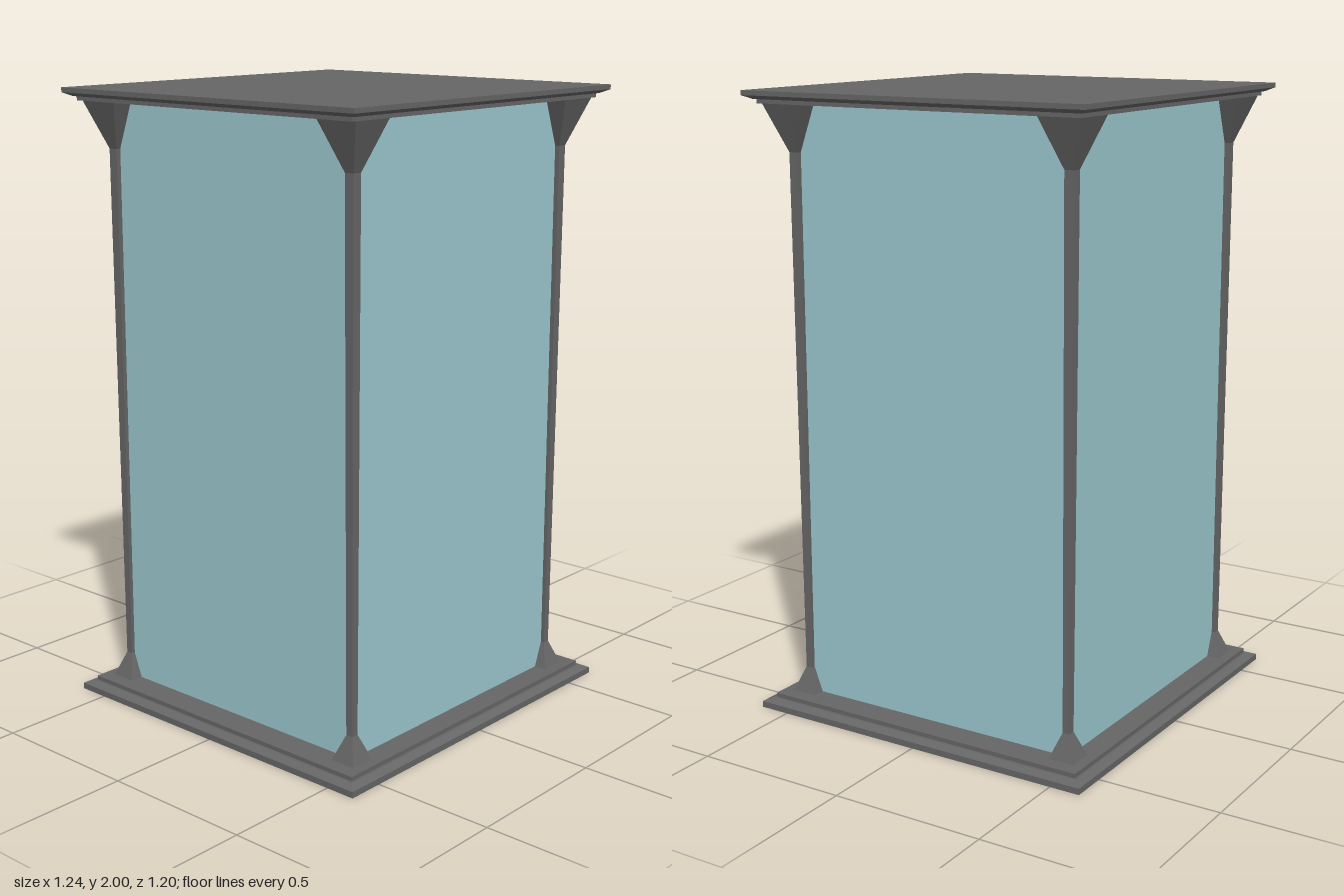
import * as THREE from 'three';

const frameMaterial = new THREE.MeshStandardMaterial({ color: 0x666666, flatShading: true });
const glassMaterial = new THREE.MeshStandardMaterial({ color: 0x9bc8ce, flatShading: true });

// Four-sided block between heights y0 and y1, with half sizes [x, z] at each end
function block(name, y0, [x0, z0], y1, [x1, z1], material = frameMaterial) {
  const geometry = new THREE.BoxGeometry(2, y1 - y0, 2);
  const p = geometry.attributes.position;
  for (let i = 0; i < p.count; i++) {
    const top = p.getY(i) > 0;
    p.setX(i, p.getX(i) * (top ? x1 : x0));
    p.setZ(i, p.getZ(i) * (top ? z1 : z0));
  }
  geometry.translate(0, (y0 + y1) / 2, 0);
  geometry.computeVertexNormals();
  const mesh = new THREE.Mesh(geometry, material);
  mesh.name = name;
  return mesh;
}

export function createModel() {
  const model = new THREE.Group();
  model.name = 'glassCabinet';

  const outer = [0.62, 0.6], inner = [0.595, 0.575], step = [0.587, 0.567];

  // Stepped base
  const base = new THREE.Group();
  base.name = 'base';
  base.add(
    block('baseSlab', 0, outer, 0.02, outer),
    block('baseBevel', 0.02, outer, 0.031, inner),
    block('baseStep', 0.031, step, 0.045, step)
  );

  // Stepped roof, mirroring the base
  const roof = new THREE.Group();
  roof.name = 'roof';
  roof.add(
    block('roofStep', 1.96, step, 1.973, step),
    block('roofBevel', 1.973, inner, 1.985, outer),
    block('roofSlab', 1.985, outer, 2, outer)
  );
  model.add(base, roof);

  // Corner posts with flared feet and capitals
  for (const x of [-0.497, 0.497]) {
    for (const z of [-0.49, 0.49]) {
      const post = new THREE.Group();
      post.name = 'cornerPost';
      post.add(
        block('foot', 0.045, [0.043, 0.043], 0.125, [0.012, 0.012]),
        block('shaft', 0.125, [0.012, 0.012], 1.81, [0.016, 0.016]),
        block('capital', 1.81, [0.016, 0.016], 1.96, [0.072, 0.072])
      );
      post.position.set(x, 0, z);
      model.add(post);
    }
  }

  // Glass panes between the posts
  for (const s of [-1, 1]) {
    const facePane = block('glassPane', 0.045, [0.495, 0.003], 1.96, [0.495, 0.003], glassMaterial);
    facePane.position.z = s * 0.487;
    const sidePane = block('glassPane', 0.045, [0.003, 0.488], 1.96, [0.003, 0.488], glassMaterial);
    sidePane.position.x = s * 0.494;
    model.add(facePane, sidePane);
  }

  return model;
}
